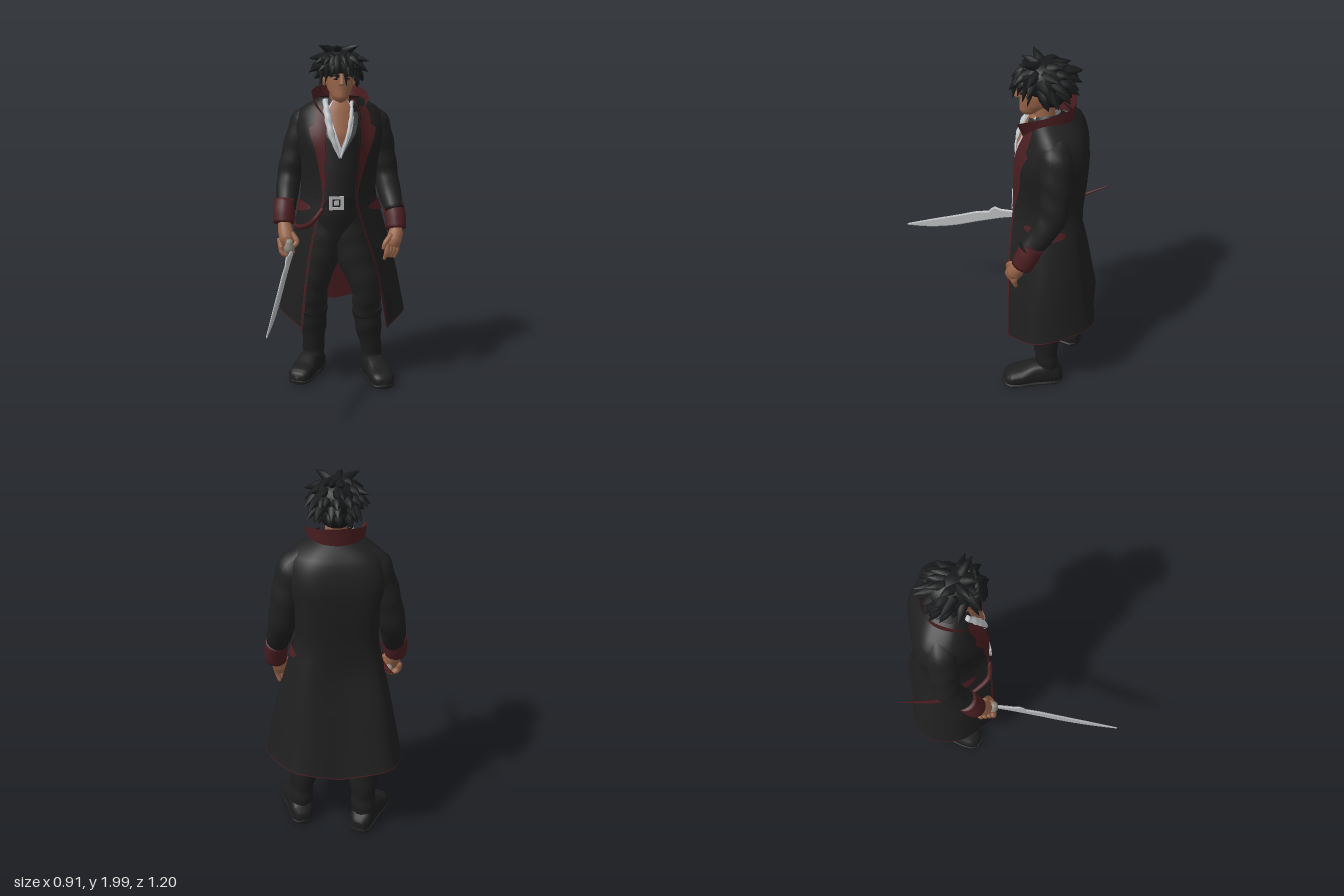
import * as THREE from 'three';
import { mergeVertices } from 'three/addons/utils/BufferGeometryUtils.js';

const V = (x, y, z) => new THREE.Vector3(x, y, z);
const { clamp, lerp } = THREE.MathUtils;
const mat = (name, color, side = THREE.FrontSide) => new THREE.MeshStandardMaterial({ name, color, side });

export function createModel() {
  const M = {
    coat: mat('coat black', 0x1f1f20, THREE.DoubleSide), red: mat('dark red', 0x4b1e21, THREE.DoubleSide),
    cloth: mat('trouser black', 0x212122), boot: mat('boot black', 0x1d1d1d),
    hair: mat('hair black', 0x191a1b), skin: mat('skin', 0x98654a),
    steel: mat('steel', 0xb8babc), shirt: mat('shirt white', 0xc4c8cc, THREE.DoubleSide),
    grey: mat('trim grey', 0x505252), hilt: mat('hilt bronze', 0x908a7c),
  };
  const model = new THREE.Group();
  model.name = 'swordsman';
  let seed = 11;
  const rnd = (a, b) => { seed = (seed * 16807) % 2147483647; return lerp(a, b, seed / 2147483647); };
  const add = (name, geo, m, parent = model) => {
    const mesh = new THREE.Mesh(geo, m);
    mesh.name = name;
    parent.add(mesh);
    return mesh;
  };

  // Grid over a surface P(u, v); u limits may be functions of v, off pushes along the normal
  function patch(name, m, P, u0, u1, v0, v1, off = 0, nu = 12, nv = 16, parent = model) {
    const pos = [], idx = [], val = (f, v) => (typeof f === 'function' ? f(v) : f), e = 0.004;
    for (let i = 0; i <= nv; i++) for (let j = 0; j <= nu; j++) {
      const v = lerp(v0, v1, i / nv), u = lerp(val(u0, v), val(u1, v), j / nu), p = P(u, v);
      if (off) {
        const du = P(Math.min(u + e, 1), v).sub(P(Math.max(u - e, 0), v));
        const dv = P(u, v - e).sub(P(u, v + e));
        p.addScaledVector(du.cross(dv).normalize(), off);
      }
      pos.push(p.x, p.y, p.z);
      if (i < nv && j < nu) {
        const a = i * (nu + 1) + j, c = a + nu + 1;
        idx.push(a, a + 1, c, a + 1, c + 1, c);
      }
    }
    let g = new THREE.BufferGeometry();
    g.setAttribute('position', new THREE.Float32BufferAttribute(pos, 3));
    g.setIndex(idx);
    g = mergeVertices(g, 1e-5);
    g.computeVertexNormals();
    return add(name, g, m, parent);
  }

  // Closed round limb through [x, y, z, radius] points, with optional cloth folds
  function limb(name, m, pts, { nu = 16, nv = 24, fold = 0, waves = 6, parent = model } = {}) {
    const curve = new THREE.CatmullRomCurve3(pts.map(p => V(p[0], p[1], p[2])), false, 'catmullrom', 0.5);
    const whole = curve.getPoint(1).sub(curve.getPoint(0)).normalize();
    const ref = Math.abs(whole.y) > 0.7 ? V(0, 0, 1) : V(0, 1, 0);
    const P = (u, v) => {
      const t = clamp((v * nv - 1) / (nv - 2), 0, 1), s = t * (pts.length - 1);
      const k = Math.min(Math.floor(s), pts.length - 2), a = u * Math.PI * 2;
      const T = curve.getTangent(t), N = ref.clone().cross(T).normalize(), B = T.clone().cross(N);
      let r = lerp(pts[k][3], pts[k + 1][3], s - k) * (1 + fold * Math.sin(t * waves * 6.28 + 2 * Math.sin(a)));
      if (v < 1e-6 || v > 1 - 1e-6) r = 0;
      return curve.getPoint(t).addScaledVector(N, r * Math.cos(a)).addScaledVector(B, r * Math.sin(a));
    };
    return patch(name, m, P, 0, 1, 0, 1, 0, nu, nv, parent);
  }
  const ball = (name, m, c, s, parent = model) => {
    const b = add(name, new THREE.SphereGeometry(1, 24, 16), m, parent);
    b.position.set(...c);
    b.scale.set(...s);
    return b;
  };

  // Surface through rows of [y, x, z, x, z ...], addressed by (u, y); shape adjusts each point
  function rowSurface(rows, shape) {
    const curves = rows.map(([y, ...c]) => new THREE.CatmullRomCurve3(
      Array.from({ length: c.length / 2 }, (_, i) => V(c[2 * i], y, c[2 * i + 1]))));
    return (u, y) => {
      let k = 0;
      while (k < rows.length - 2 && y < rows[k + 1][0]) k++;
      const f = (rows[k][0] - y) / (rows[k][0] - rows[k + 1][0]);
      const p = new THREE.CatmullRomCurve3(curves.map(c => c.getPoint(clamp(u, 0, 1))))
        .getPoint(clamp((k + f) / (rows.length - 1), 0, 1));
      shape(p, u, y);
      return p;
    };
  }
  // Surface of stacked ellipses [y, cx, cz, rx, rz]; u = 0.25 is the front
  const ellipses = rows => (u, y) => {
    let k = 0;
    while (k < rows.length - 2 && y < rows[k + 1][0]) k++;
    const f = clamp((rows[k][0] - y) / (rows[k][0] - rows[k + 1][0]), 0, 1);
    const [cx, cz, rx, rz] = [1, 2, 3, 4].map(i => lerp(rows[k][i], rows[k + 1][i], f));
    const a = u * Math.PI * 2;
    return V(cx + rx * Math.cos(a), y, cz + rz * Math.sin(a));
  };

  // Long coat, from the right front edge round the back to the left front edge
  const coat = rowSurface([
    [1.70, 0, -.16, -.05, -.24, -.01, -.32, .06, -.345, .13, -.32, .18, -.22, .13, -.14],
    [1.62, -.03, -.135, -.16, -.28, -.11, -.40, .05, -.42, .21, -.39, .305, -.25, .155, -.12],
    [1.50, -.04, -.09, -.19, -.29, -.14, -.435, .06, -.455, .24, -.42, .33, -.27, .15, -.08],
    [1.35, -.045, -.075, -.16, -.28, -.12, -.43, .05, -.455, .23, -.42, .30, -.26, .14, -.07],
    [1.15, -.05, -.08, -.15, -.27, -.12, -.41, .04, -.44, .22, -.41, .28, -.25, .125, -.065],
    [1.00, -.10, -.075, -.18, -.27, -.14, -.42, .04, -.44, .25, -.42, .32, -.24, .16, -.05],
    [0.75, -.145, -.08, -.23, -.30, -.17, -.48, .05, -.485, .29, -.45, .39, -.23, .24, -.04],
    [0.42, -.182, -.09, -.285, -.33, -.20, -.54, .08, -.54, .32, -.50, .45, -.21, .31, -.04],
  ], (p, u, y) => {
    // dipping hem, and a full chest beside the opening
    p.y += clamp((0.75 - y) / 0.33, 0, 1) ** 2
      * (-.04 + .04 * Math.sin(Math.PI * u) + .055 * Math.abs(Math.sin(2 * Math.PI * u)));
    const side = Math.min(u, 1 - u), chest = Math.exp(-(((y - 1.44) / .15) ** 2));
    p.z += chest * .045 * Math.exp(-(((side - .085) / .05) ** 2));
  });
  patch('coat', M.coat, coat, 0, 1, 1.7, 0.42, 0, 60, 48);
  patch('coatLining', M.red, coat, 1, 0, 1.7, 0.42, -0.005, 60, 48);
  const lapel = w => y => 0.012 + w * clamp((y - 1.17) / 0.36, 0, 1) * (y > 1.54 ? 0.65 : 1);
  patch('rightLapel', M.red, coat, 0, lapel(.065), 1.65, 1.15, 0.006, 6, 30);
  patch('leftLapel', M.red, coat, y => 1 - lapel(.062)(y), 1, 1.65, 1.15, 0.006, 6, 30);
  patch('rightFrontTrim', M.red, coat, 0, 0.008, 1.15, 0.42, 0.003, 2, 24);
  patch('leftFrontTrim', M.red, coat, 0.992, 1, 1.15, 0.42, 0.003, 2, 24);
  patch('hemTrim', M.red, coat, 0, 1, 0.426, 0.42, 0.002, 60, 1);
  // Leaf-shaped pocket flaps
  const flap = (u0, u1) => (s, v) => coat(lerp(u0, u1, s), 1.08 + v * Math.sqrt(Math.max(Math.sin(Math.PI * s), 0)));
  patch('rightPocketFlap', M.red, flap(.07, .27), 0, 1, .032, -.032, 0.009, 16, 4);
  patch('leftPocketFlap', M.red, flap(.74, .94), 0, 1, .032, -.032, 0.009, 16, 4);

  // Standing collar, higher at the back
  const collar = rowSurface([
    [1.70, -.105, -.09, -.095, -.24, -.025, -.355, .07, -.38, .155, -.345, .205, -.22, .2, -.08],
    [1.59, -.035, -.13, -.075, -.25, -.025, -.34, .06, -.365, .145, -.335, .195, -.22, .15, -.115],
  ], (p, u) => { p.y += 0.07 * Math.sin(Math.PI * u); });
  patch('collar', M.red, collar, 0, 1, 1.7, 1.59, 0, 36, 6);

  // Waistcoat, open chest and shirt
  const torso = ellipses([
    [1.70, .06, -.24, .055, .06], [1.64, .05, -.25, .12, .11], [1.5, .045, -.25, .16, .163],
    [1.3, .04, -.24, .15, .165], [1.12, .035, -.24, .145, .165], [1.04, .035, -.24, .145, .155],
    [.9, .04, -.25, .12, .115], [.79, .045, -.26, .08, .08], [.785, .045, -.26, 0, 0]]);
  patch('waistcoat', M.cloth, torso, 0, 1, 1.7, 0.785, 0, 32, 40);
  const vee = (low, w, s) => y => 0.25 + s * w * clamp((y - low) / 0.22, 0, 1);
  for (const [name, m, low, w, top, off] of [['neckTrim', M.grey, 1.38, .155, 1.62, .003], ['shirtFront', M.shirt, 1.37, .095, 1.68, .006], ['chest', M.skin, 1.43, .08, 1.69, .009]])
    patch(name, m, torso, vee(low, w, -1), vee(low, w, 1), top, low, off, 10, 18);
  limb('rightShirtEdge', M.shirt, [[-.03, 1.69, -.175, .014], [-.025, 1.61, -.125, .02], [-.008, 1.5, -.088, .018], [.035, 1.375, -.074, .006]],
    { nu: 10, fold: .15, waves: 5 });
  limb('leftShirtEdge', M.shirt, [[.12, 1.68, -.17, .008], [.108, 1.6, -.125, .011], [.08, 1.49, -.088, .011], [.04, 1.375, -.074, .006]],
    { nu: 10, fold: .15, waves: 5 });
  patch('belt', M.boot, torso, 0, 1, 1.145, 1.095, 0.008, 32, 3);
  const V2 = list => list.map(p => new THREE.Vector2(...p));
  const frame = new THREE.Shape(V2([[-.042, -.038], [.042, -.038], [.042, .038], [-.042, .038]]));
  frame.holes.push(new THREE.Path(V2([[-.024, -.022], [-.024, .022], [.024, .022], [.024, -.022]])));
  add('buckle', new THREE.ExtrudeGeometry(frame, { depth: .012, bevelEnabled: false }), M.steel).position.set(.015, 1.123, -.068);
  add('buckleTongue', new THREE.BoxGeometry(.026, .026, .012), M.steel).position.set(.015, 1.123, -.063);

  // Sleeves and cuffs
  limb('rightSleeve', M.coat, [[-.05, 1.61, -.31, .06], [-.12, 1.55, -.325, .088], [-.178, 1.38, -.335, .08],
    [-.22, 1.22, -.325, .071], [-.25, 1.07, -.235, .058]], { fold: .035, nv: 36, waves: 5 });
  limb('leftSleeve', M.coat, [[.19, 1.61, -.285, .06], [.272, 1.54, -.275, .09], [.318, 1.38, -.28, .08],
    [.345, 1.22, -.26, .072], [.37, 1.05, -.15, .057]], { fold: .035, nv: 36, waves: 5 });
  limb('rightCuff', M.red, [[-.253, 1.115, -.25, .06], [-.262, 1.05, -.222, .064], [-.266, .99, -.2, .06]], { nv: 10 });
  limb('leftCuff', M.red, [[.368, 1.085, -.175, .06], [.373, 1.02, -.145, .062], [.373, .95, -.115, .058]], { nv: 10 });

  // Right hand closed on the grip
  limb('rightHand', M.skin, [[-.265, 1.0, -.2, .034], [-.262, .955, -.175, .042], [-.255, .91, -.15, .045], [-.25, .875, -.14, .03]], { nv: 14 });
  for (let i = 0; i < 4; i++) {
    const z = -.185 + i * .024, y = .888 - i * .008;
    limb('rightFinger', M.skin, [[-.295, y + .02, z, .014], [-.29, y - .025, z + .01, .015], [-.25, y - .04, z + .012, .014],
      [-.222, y - .015, z + .005, .012]], { nu: 8, nv: 10 });
  }
  limb('rightThumb', M.skin, [[-.23, .94, -.145, .018], [-.205, .9, -.115, .016], [-.225, .875, -.095, .012]], { nu: 8, nv: 10 });
  // Left hand relaxed
  limb('leftHand', M.skin, [[.373, .98, -.12, .033], [.365, .93, -.095, .042], [.35, .89, -.08, .045], [.34, .86, -.075, .036]], { nv: 14 });
  for (let i = 0; i < 4; i++) {
    const x = .375 - i * .022, z = -.09 + i * .012;
    limb('leftFinger', M.skin, [[x, .88, z, .016], [x - .008, .835, z + .014, .015], [x - .02, .79 + (i % 3) * .006, z + .005, .010]], { nu: 8, nv: 10 });
  }
  limb('leftThumb', M.skin, [[.335, .925, -.07, .018], [.295, .89, -.045, .015], [.28, .85, -.04, .01]], { nu: 8, nv: 10 });

  // Sword: curved blade slanting outwards, guard and grip
  const sword = new THREE.Group();
  sword.name = 'sword';
  model.add(sword);
  const blade = new THREE.Shape(V2([[-.1, .852], [.01, .842], [.045, .85], [.065, .835], [.08, .812]]));
  blade.splineThru(V2([[.16, .788], [.26, .742], [.42, .672], [.592, .594]]));
  blade.splineThru(V2([[.45, .618], [.3, .665], [.15, .732], [0, .795], [-.1, .825]]));
  const bladeGeo = new THREE.ExtrudeGeometry(blade, { depth: .002, bevelThickness: .006, bevelSize: .007, bevelSegments: 1, curveSegments: 24 });
  bladeGeo.rotateY(-Math.PI / 2);
  const bp = bladeGeo.attributes.position;
  for (let i = 0; i < bp.count; i++) bp.setX(i, bp.getX(i) * (1 - .6 * clamp(bp.getZ(i), 0, 1)) - .265 - .31 * bp.getZ(i));
  bladeGeo.computeVertexNormals();
  add('blade', bladeGeo, M.steel, sword);
  limb('guard', M.hilt, [[-.25, .915, -.09, .016], [-.25, .865, -.1, .03], [-.25, .815, -.115, .014]], { nv: 10, parent: sword });
  limb('grip', M.hilt, [[-.25, .86, -.09, .016], [-.235, .885, -.17, .016], [-.23, .9, -.215, .02], [-.228, .905, -.235, .012]], { nv: 14, parent: sword });
  limb('scabbard', M.red, [[-.06, 1.09, -.075, .014], [-.13, 1.0, -.105, .014], [-.185, .955, -.26, .014], [-.188, 1.0, -.42, .011], [-.18, 1.085, -.6, .003]], { nu: 10, nv: 30 });

  // Trousers, boot shafts and feet
  limb('rightTrouser', M.cloth, [[0, 1.03, -.235, .11], [-.035, .82, -.25, .11], [-.08, .60, -.29, .087], [-.077, .42, -.35, .084]], { fold: .02, nv: 36, waves: 5 });
  limb('leftTrouser', M.cloth, [[.075, 1.03, -.235, .11], [.135, .82, -.22, .11], [.21, .60, -.20, .087], [.23, .42, -.25, .084]], { fold: .02, nv: 36, waves: 5 });
  limb('rightBoot', M.boot, [[-.077, .45, -.355, .088], [-.072, .34, -.375, .08], [-.07, .2, -.39, .066], [-.072, .11, -.395, .068], [-.075, .03, -.395, .06]], { fold: .035, nv: 36, waves: 4 });
  limb('leftBoot', M.boot, [[.232, .45, -.25, .09], [.242, .34, -.255, .08], [.262, .2, -.268, .063], [.267, .11, -.272, .066], [.27, .03, -.27, .06]], { fold: .035, nv: 36, waves: 4 });
  const footRings = [[-.095, 0, .05], [-.09, .035, .07], [-.06, .06, .11], [0, .064, .15], [.08, .064, .135], [.15, .072, .1], [.21, .068, .085], [.24, .047, .065], [.253, 0, .03]];
  const footSurface = (grow, h) => (u, v) => {
    const s = v * 8, k = Math.min(Math.floor(s), 7), [z, w, y] = [0, 1, 2].map(i => lerp(footRings[k][i], footRings[k + 1][i], s - k));
    const c = Math.cos(u * 6.283185), n = Math.sin(u * 6.283185), top = h || y;
    return V(grow * w * Math.sign(c) * Math.abs(c) ** .7, .008 + top / 2 + top / 2 * Math.sign(n) * Math.abs(n) ** .7, z * grow);
  };
  for (const [side, x, z, yaw] of [['right', -.075, -.395, -.55], ['left', .272, -.27, .12]]) {
    const foot = new THREE.Group();
    foot.name = side + 'Foot';
    foot.position.set(x, 0, z);
    foot.rotation.y = yaw;
    model.add(foot);
    patch('shoe', M.boot, footSurface(1, 0), 0, 1, 0, 1, 0, 20, 24, foot);
    patch('sole', M.boot, footSurface(1.03, .024), 0, 1, 0, 1, 0, 20, 24, foot);
    add('heel', new THREE.CylinderGeometry(.056, .056, .03, 18), M.boot, foot).position.set(0, .016, -.035);
  }

  // Neck, head and face
  limb('neck', M.skin, [[.06, 1.56, -.24, .07], [.058, 1.66, -.22, .056], [.055, 1.77, -.205, .055]], { nv: 12 });
  patch('head', M.skin, ellipses([[1.96, .055, -.23, 0, 0], [1.93, .055, -.22, .06, .09], [1.86, .055, -.21, .083, .115], [1.80, .055, -.20, .08, .11],
    [1.75, .053, -.185, .068, .093], [1.705, .05, -.15, .045, .06], [1.68, .05, -.13, .022, .025], [1.675, .05, -.13, 0, 0]]), 0, 1, 1.96, 1.675, 0, 24, 28);
  limb('nose', M.skin, [[.05, 1.835, -.098, .008], [.048, 1.80, -.083, .011], [.047, 1.775, -.078, .016]], { nu: 10, nv: 10 });
  for (const s of [-1, 1]) {
    ball('ear', M.skin, [.055 + s * .083, 1.795, -.21], [.012, .032, .02]);
    limb('eyebrow', M.hair, [[.05 + s * .015, 1.820, -.088, .007], [.05 + s * .04, 1.828, -.097, .007], [.05 + s * .062, 1.820, -.12, .004]], { nu: 8, nv: 8 });
    ball('eye', M.hair, [.05 + s * .033, 1.808, -.099], [.014, .005, .006]);
  }

  // Hair: rounded cap with windswept locks in rings
  const hair = new THREE.Group();
  hair.name = 'hair';
  model.add(hair);
  ball('hairCap', M.hair, [.055, 1.878, -.215], [.112, .098, .135], hair);
  ball('hairBack', M.hair, [.055, 1.815, -.25], [.094, .085, .08], hair);
  for (const [lat, n, len, drop] of [[1.15, 7, .1, .05], [.7, 11, .11, -.15], [.3, 14, .1, -.4], [-.15, 14, .09, -.7], [-.6, 12, .08, -.9]]) {
    for (let i = 0; i < n; i++) {
      const a = (i + rnd(-.35, .35)) / n * Math.PI * 2, front = Math.cos(a), c = Math.cos(lat);
      if (lat < .1 && front > .3) continue; // leave the face clear
      const out = V(Math.sin(a) * c, Math.sin(lat), front * c);
      const p = V(.055, 1.87, -.215).add(V(out.x * .088, out.y * .085, out.z * .105));
      const dir = V(out.x * .5, drop, out.z * .4 - (front > .4 ? 0 : .5)).normalize().multiplyScalar(len * rnd(.55, 1.1));
      const mid = p.clone().addScaledVector(dir, .5).addScaledVector(out, .012), tip = p.clone().add(dir).addScaledVector(out, rnd(0, .03));
      limb('lock', M.hair, [[p.x, p.y, p.z, .03], [mid.x, mid.y, mid.z, .02], [tip.x, Math.min(tip.y, 1.99), Math.max(tip.z, -.4), .002]], { nu: 7, nv: 9, parent: hair });
    }
  }
  // Fringe strands over the forehead
  for (const [x0, x1, y1, z1] of [[-.03, -.065, 1.78, -.12], [-.01, -.04, 1.79, -.1], [.01, -.015, 1.815, -.075], [.03, .015, 1.81, -.06], [.06, .068, 1.775, -.055], [.09, .11, 1.81, -.08], [.11, .135, 1.79, -.105], [.12, .155, 1.775, -.13]])
    limb('fringe', M.hair, [[x0, 1.925, -.125, .03], [(x0 + x1) / 2, 1.875, z1 - .018, .021], [x1, y1, z1, .002]], { nu: 8, nv: 10, parent: hair });
  return model;
}
